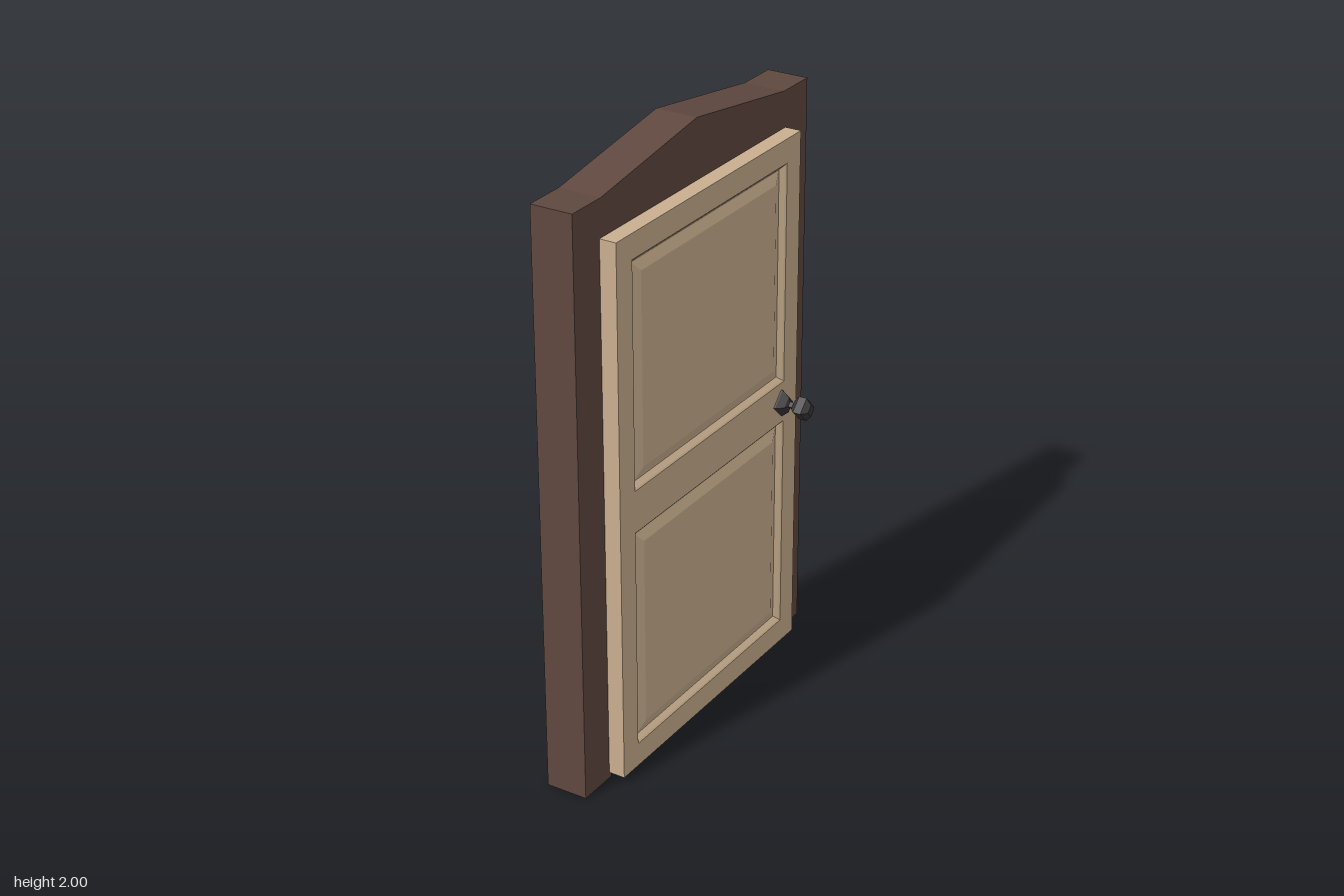
import * as THREE from 'three';

const paint = (color) => new THREE.MeshStandardMaterial({ color, flatShading: true });

function addMesh(parent, name, geometry, material) {
  const mesh = new THREE.Mesh(geometry, material);
  mesh.name = name;
  parent.add(mesh);
  return mesh;
}

// Extrude a shape from depth z0 to z1
function slab(shape, z0, z1) {
  const g = new THREE.ExtrudeGeometry(shape, { depth: z1 - z0, bevelEnabled: false });
  return g.translate(0, 0, z0);
}

function rectPoints(w, y0, y1) {
  return [[-w, y0], [w, y0], [w, y1], [-w, y1]].map(([x, y]) => new THREE.Vector2(x, y));
}

// Moulded panel face: nested rectangles, each [inset, depth], closed by a flat field
function panelFace(w, h, rings) {
  const pos = [], index = [];
  rings.forEach(([inset, z]) => {
    const a = w / 2 - inset, b = h / 2 - inset;
    pos.push(-a, -b, z, a, -b, z, a, b, z, -a, b, z);
  });
  for (let r = 0; r < rings.length - 1; r++) {
    for (let i = 0; i < 4; i++) {
      const a = r * 4 + i, b = r * 4 + (i + 1) % 4;
      index.push(a, b, b + 4, a, b + 4, a + 4);
    }
  }
  const k = (rings.length - 1) * 4;
  index.push(k, k + 1, k + 2, k, k + 2, k + 3);
  const g = new THREE.BufferGeometry();
  g.setAttribute('position', new THREE.Float32BufferAttribute(pos, 3));
  g.setIndex(index);
  const flat = g.toNonIndexed();
  flat.computeVertexNormals();
  return flat;
}

export function createModel() {
  const model = new THREE.Group();
  model.name = 'door';
  // Built facing +z, then turned so the door faces +x
  const body = new THREE.Group();
  body.name = 'doorAssembly';
  body.rotation.y = Math.PI / 2;
  model.add(body);

  const frameWood = paint(0x5f4840);
  const doorWood = paint(0xc9af8f);
  const metal = paint(0x3a3638);

  // Surround with a peaked head, open at the bottom
  const outline = [
    [-0.64, 0], [-0.5, 0], [-0.5, 1.79], [0.5, 1.79], [0.5, 0], [0.64, 0],
    [0.64, 1.925], [0.5, 1.925], [0, 2], [-0.5, 1.925], [-0.64, 1.925],
  ].map(([x, y]) => new THREE.Vector2(x, y));
  addMesh(body, 'doorFrame', slab(new THREE.Shape(outline), -0.155, -0.015), frameWood);

  // Door leaf with two panel openings
  const back = -0.015, front = 0.04, mid = (back + front) / 2, half = (front - back) / 2;
  const panels = [['lowerPanel', 0.1, 0.845], ['upperPanel', 0.985, 1.725]];
  const leaf = new THREE.Shape(rectPoints(0.51, 0.02, 1.805));
  panels.forEach(([, y0, y1]) => leaf.holes.push(new THREE.Path(rectPoints(0.43, y0, y1).reverse())));
  addMesh(body, 'doorLeaf', slab(leaf, back, front), doorWood);

  // Raised panels, the same on both faces
  const rings = [[0, half], [0.005, half - 0.004], [0.018, half - 0.018], [0.022, half - 0.018], [0.055, half - 0.006]];
  panels.forEach(([name, y0, y1]) => {
    const geometry = panelFace(0.86, y1 - y0, rings);
    [['Front', 0], ['Back', Math.PI]].forEach(([side, turn]) => {
      const panel = addMesh(body, name + side, geometry, doorWood);
      panel.position.set(0, (y0 + y1) / 2, mid);
      panel.rotation.y = turn;
    });
  });

  // Four-sided knob: rose, neck and grip turned about one axis
  const profile = [
    [0, 0], [0.046, 0], [0.046, 0.005], [0.027, 0.028], [0.012, 0.033], [0.012, 0.048],
    [0.022, 0.05], [0.04, 0.066], [0.04, 0.093], [0.02, 0.11], [0, 0.11],
  ].map(([r, y]) => new THREE.Vector2(r, y));
  const knob = addMesh(body, 'doorKnob', new THREE.LatheGeometry(profile, 4), metal);
  knob.rotation.x = Math.PI / 2;
  knob.position.set(0.415, 0.915, front);

  return model;
}
